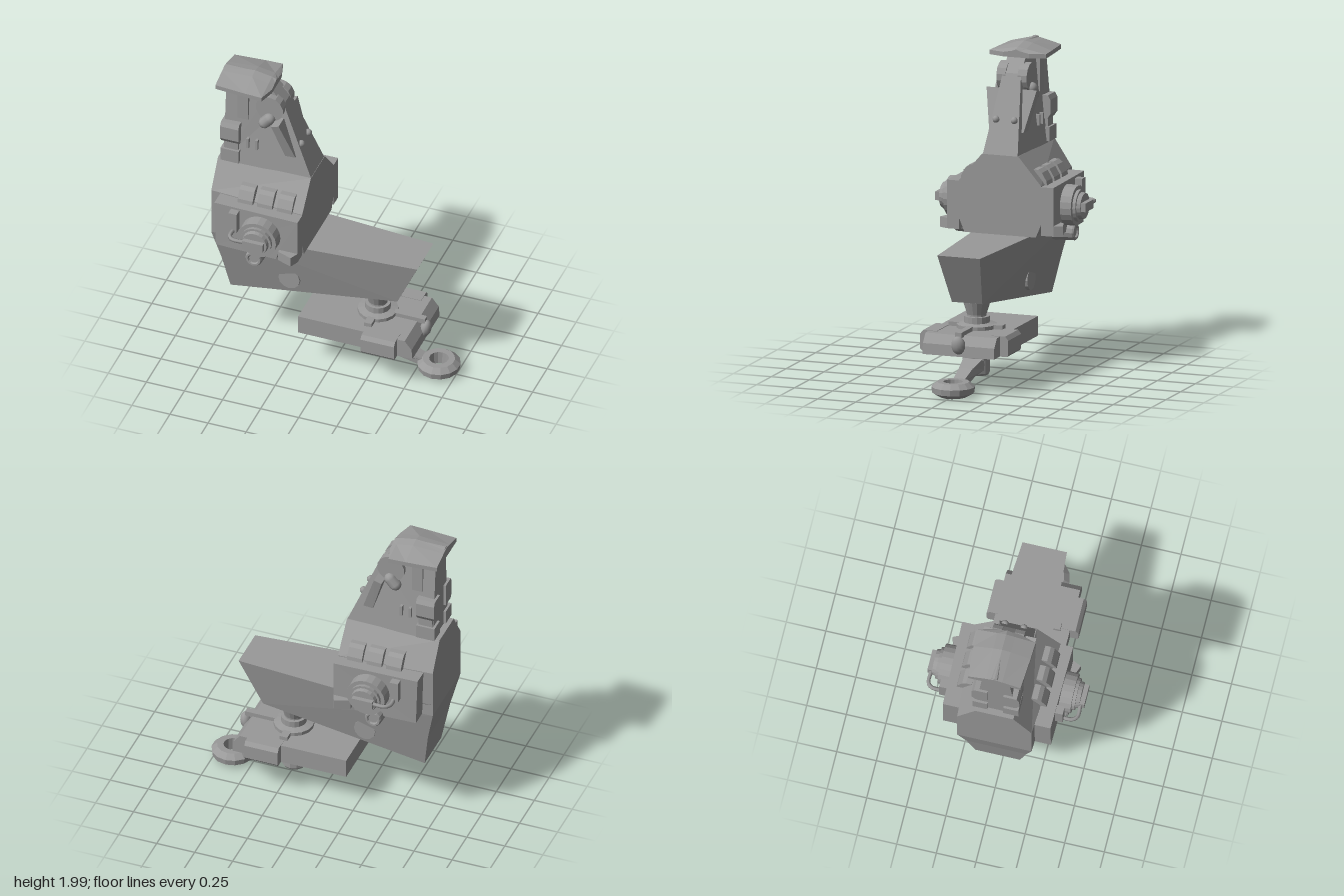
import * as THREE from 'three';

const smooth = new THREE.MeshStandardMaterial({ color: 0x999999, side: THREE.DoubleSide });
const flat = new THREE.MeshStandardMaterial({ color: 0x999999, flatShading: true });

// Solid mirrored across z from a counter-clockwise outline of [x, y, halfWidth]
function prism(pts) {
  const v = [], n = pts.length;
  const put = (i, s) => v.push(pts[i][0], pts[i][1], s * pts[i][2]);
  const outline = pts.map(p => new THREE.Vector2(p[0], p[1]));
  for (const [a, b, c] of THREE.ShapeUtils.triangulateShape(outline, [])) {
    put(a, 1); put(b, 1); put(c, 1);
    put(a, -1); put(c, -1); put(b, -1);
  }
  for (let a = 0; a < n; a++) {
    const b = (a + 1) % n;
    put(a, 1); put(a, -1); put(b, -1);
    put(a, 1); put(b, -1); put(b, 1);
  }
  const g = new THREE.BufferGeometry();
  g.setAttribute('position', new THREE.Float32BufferAttribute(v, 3));
  g.computeVertexNormals();
  return g;
}

const shape = pts => new THREE.Shape(pts.map(p => new THREE.Vector2(...p)));

// Constant section of [z, y] points running along x from x0 to x1
const bar = (x0, x1, pts) =>
  new THREE.ExtrudeGeometry(shape(pts.map(([z, y]) => [-z, y])), { depth: x1 - x0, bevelEnabled: false })
    .rotateY(Math.PI / 2).translate(x0, 0, 0);

// Box given by its minimum and maximum corners
const box = (x0, x1, y0, y1, z0, z1) => new THREE.BoxGeometry(x1 - x0, y1 - y0, z1 - z0)
  .translate((x0 + x1) / 2, (y0 + y1) / 2, (z0 + z1) / 2);

// Cylinder along z from z0 to z1
const drum = (x, y, z0, z1, r0, r1 = r0, sides = 16) =>
  new THREE.CylinderGeometry(r1, r0, z1 - z0, sides).rotateX(Math.PI / 2).translate(x, y, (z0 + z1) / 2);

const lathe = (pts, sides) =>
  new THREE.LatheGeometry(pts.map(p => new THREE.Vector2(...p)), sides);

export function createModel() {
  const root = new THREE.Group();
  const add = (name, geo, parent = root, m = flat) => {
    const mesh = new THREE.Mesh(geo, m);
    mesh.name = name;
    parent.add(mesh);
  };

  // Long lower hull, narrowing forward and down
  add('hull', prism([[-0.68, 0.404, 0.14], [0.40, 0.54, 0.1], [0.545, 0.856, 0.14],
    [-0.77, 0.856, 0.235], [-0.72, 0.645, 0.19]]));

  // Central housing, slimmer at the rear end
  const housing = bar(-0.77, -0.16, [[-0.235, 0.856], [0.235, 0.856], [0.27, 0.94], [0.27, 1.18],
    [0.12, 1.355], [-0.12, 1.355], [-0.27, 1.18], [-0.27, 0.94]]);
  const hp = housing.attributes.position;
  for (let i = 0; i < hp.count; i++)
    if (hp.getX(i) < -0.7 && Math.abs(hp.getZ(i)) > 0.235) hp.setZ(i, Math.sign(hp.getZ(i)) * 0.235);
  add('housing', housing);

  // Side pods
  add('sidePods', prism([[-0.7, 0.856, 0.34], [-0.3, 0.856, 0.35], [-0.28, 0.935, 0.35],
    [-0.16, 0.935, 0.35], [-0.16, 1.175, 0.35], [-0.71, 1.175, 0.34]]));

  // Tower with the slanted strut pair standing out of its flanks
  add('tower', prism([[-0.73, 1.35, 0.13], [-0.16, 1.35, 0.115], [-0.36, 1.83, 0.06],
    [-0.44, 1.92, 0.06], [-0.73, 1.92, 0.08]]));
  add('struts', prism([[-0.33, 1.482, 0.118], [-0.265, 1.482, 0.113], [-0.355, 1.735, 0.165],
    [-0.405, 1.72, 0.165]]));

  // Roof cap lofted along x
  const rows = [[-0.77, 0.165, 1.982], [-0.57, 0.18, 1.994], [-0.46, 0.185, 1.975], [-0.43, 0.085, 1.965]];
  const capPos = [], capIdx = [];
  for (const [x, w, top] of rows)
    capPos.push(x, 1.915, w, x, 1.943, w, x, top - 0.01, w * 0.3, x, top, 0,
      x, top - 0.01, -w * 0.3, x, 1.943, -w, x, 1.915, -w);
  for (let r = 0; r < 3; r++) for (let k = 0; k < 7; k++) {
    const a = r * 7 + k, b = r * 7 + (k + 1) % 7;
    capIdx.push(a, a + 7, b, b, a + 7, b + 7);
  }
  for (let k = 1; k < 6; k++) capIdx.push(0, k, k + 1, 21, 22 + k, 21 + k);
  const capGeo = new THREE.BufferGeometry();
  capGeo.setAttribute('position', new THREE.Float32BufferAttribute(capPos, 3));
  capGeo.setIndex(capIdx);
  capGeo.computeVertexNormals();
  add('roofCap', capGeo);
  add('roofRidge', new THREE.ConeGeometry(0.022, 0.2, 8).rotateZ(-Math.PI / 2)
    .scale(1, 0.5, 1).rotateZ(0.06).translate(-0.665, 1.985, 0));

  // Details repeated on both sides
  for (const s of [1, -1]) {
    const side = new THREE.Group();
    side.name = s > 0 ? 'frontSideDetails' : 'backSideDetails';
    root.add(side);
    const put = (name, geo, m) => {
      if (s < 0) { // mirror in z and restore the winding
        geo = geo.index ? geo.toNonIndexed() : geo;
        geo.scale(1, 1, -1);
        for (const key of ['position', 'normal']) {
          const a = geo.attributes[key];
          for (let i = 0; i < a.count; i += 3) for (let j = 0; j < 3; j++) {
            const t = a.getComponent(i + 1, j);
            a.setComponent(i + 1, j, a.getComponent(i + 2, j));
            a.setComponent(i + 2, j, t);
          }
        }
      }
      add(name, geo, side, m);
    };

    // Three sloped blocks on the shoulder
    for (const x of [-0.53, -0.402, -0.273])
      put('shoulderBlock', bar(x - 0.049, x + 0.049, [[0.16, 1.17], [0.285, 1.17], [0.28, 1.2],
        [0.25, 1.25], [0.225, 1.268], [0.19, 1.268]]));

    // Stepped round knob with grip and bent handle
    put('knobBase', drum(-0.4, 1.025, 0.33, 0.42, 0.128, 0.125, 20));
    put('knobStep', drum(-0.4, 1.025, 0.42, 0.44, 0.1, 0.1, 20));
    put('knobFace', drum(-0.4, 1.025, 0.44, 0.465, 0.085, 0.08, 20));
    put('knobGrip', box(-0.47, -0.335, 1.0, 1.055, 0.45, 0.495));
    put('handleMount', box(-0.6, -0.545, 1.02, 1.16, 0.33, 0.39));
    const bend = new THREE.CatmullRomCurve3([[-0.57, 0.37], [-0.57, 0.44], [-0.545, 0.47], [-0.45, 0.47]]
      .map(([x, z]) => new THREE.Vector3(x, 1.03, z)));
    put('handle', new THREE.TubeGeometry(bend, 12, 0.013, 6), smooth);

    // Port and bracket below the knob
    put('port', drum(-0.435, 0.85, 0.25, 0.385, 0.058, 0.054, 12));
    put('portRim', new THREE.TorusGeometry(0.042, 0.012, 6, 12).translate(-0.435, 0.85, 0.385));
    put('bracket', new THREE.ExtrudeGeometry(shape([[-0.28, 0.27], [-0.16, 0.27], [-0.16, 0.35],
      [-0.185, 0.405], [-0.28, 0.37]]), { depth: 0.065, bevelEnabled: false })
      .rotateX(Math.PI / 2).translate(0, 0.935, 0));

    // Tower rear boxes with a waist between them
    put('upperRearBox', bar(-0.745, -0.625, [[0.05, 1.5], [0.13, 1.5], [0.15, 1.53], [0.15, 1.62],
      [0.135, 1.648], [0.05, 1.648]]));
    put('rearBoxWaist', box(-0.725, -0.635, 1.45, 1.5, 0.05, 0.13));
    put('lowerRearBox', box(-0.745, -0.625, 1.36, 1.45, 0.05, 0.145));

    // Tower upright, slots, disc, lever and stud
    put('upright', box(-0.65, -0.58, 1.68, 1.92, 0.04, 0.1));
    for (const x of [-0.575, -0.517]) put('slotRib', box(x - 0.008, x + 0.008, 1.48, 1.55, 0.08, 0.125));
    put('disc', drum(-0.44, 1.8, 0.04, 0.1, 0.09, 0.09, 14));
    put('lever', new THREE.CapsuleGeometry(0.038, 0.05, 4, 10).rotateZ(-0.7)
      .translate(-0.455, 1.71, 0.1), smooth);
    put('stud', new THREE.SphereGeometry(0.023, 8, 6).translate(-0.245, 1.56, 0.06), smooth);

    // Round boss half sunk in the sloping hull side
    put('hullBoss', drum(-0.29, 0.565, 0.08, 0.156, 0.074, 0.07, 12));

    // Clamp on the carrier plate
    put('clamp', bar(0.23, 0.45, [[0.18, 0.232], [0.28, 0.232], [0.29, 0.245], [0.29, 0.335],
      [0.27, 0.36], [0.18, 0.36]]));
  }

  // Post joining hull and carrier plate
  add('post', lathe([[0, 0.35], [0.125, 0.35], [0.125, 0.38], [0.08, 0.39], [0.08, 0.43],
    [0.06, 0.43], [0.06, 0.44], [0.085, 0.52], [0.085, 0.56], [0, 0.56]], 16).translate(0.235, 0, 0));
  add('postLug', box(0.21, 0.26, 0.35, 0.383, -0.178, 0.178));

  // Carrier plate with its release lever
  add('carrierPlate', prism([[-0.2, 0.234, 0.235], [0.55, 0.232, 0.235], [0.545, 0.3, 0.235],
    [0.5, 0.357, 0.235], [-0.2, 0.357, 0.235]]));
  add('releaseRod', box(0.3, 0.55, 0.35, 0.383, -0.02, 0.02));
  add('releaseKnob', new THREE.SphereGeometry(0.06, 12, 10).scale(0.6, 1, 0.75).rotateZ(-0.2)
    .translate(0.548, 0.303, 0), root, smooth);

  // Pivot, arm and ring below the plate
  add('pivot', lathe([[0, 0.062], [0.072, 0.062], [0.08, 0.075], [0.08, 0.2], [0.075, 0.25], [0, 0.25]], 12)
    .translate(0.23, 0, 0));
  add('pivotBrace', prism([[0.16, 0.16, 0.07], [0.3, 0.16, 0.07], [0.3, 0.2, 0.07], [0.27, 0.24, 0.07],
    [0.12, 0.24, 0.07]]));
  add('arm', prism([[0.26, 0.1, 0.065], [0.38, 0.08, 0.048], [0.53, 0.035, 0.035], [0.56, 0.08, 0.035],
    [0.42, 0.135, 0.045], [0.29, 0.175, 0.065]]));
  add('ring', lathe([[0.055, 0.015], [0.08, 0], [0.13, 0.028], [0.135, 0.065], [0.1, 0.095],
    [0.06, 0.095], [0.055, 0.015]], 14).translate(0.635, 0, 0));

  return root;
}
